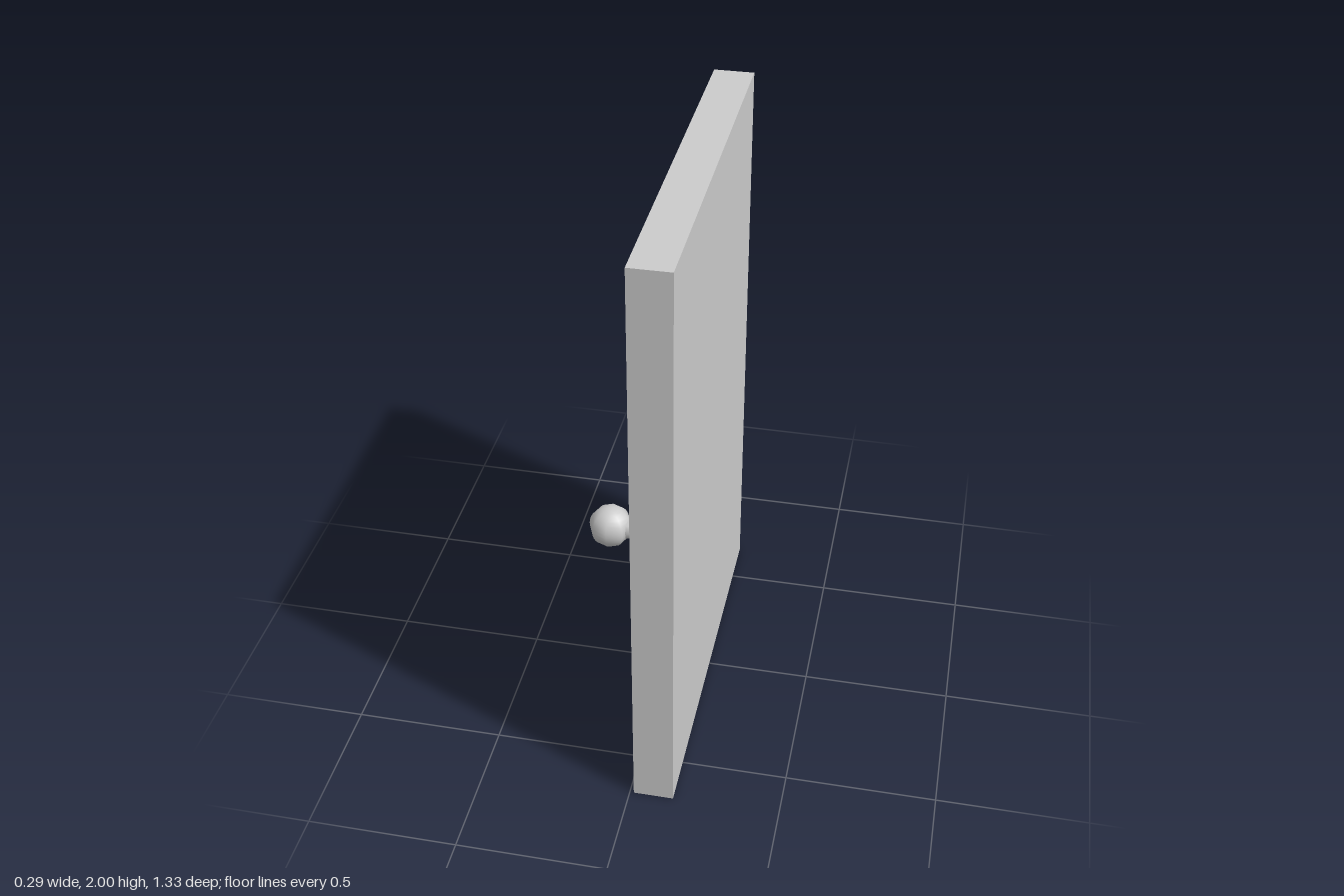
import * as THREE from 'three';

export function createModel() {
  const model = new THREE.Group();
  const grey = new THREE.MeshStandardMaterial({ color: 0xcccccc });

  const add = (name, geometry, parent, x, y, z) => {
    const mesh = new THREE.Mesh(geometry, grey);
    mesh.name = name;
    mesh.position.set(x, y, z);
    parent.add(mesh);
    return mesh;
  };

  // Door slab
  add('doorPanel', new THREE.BoxGeometry(0.133, 2, 1.333), model, 0.08, 1, 0);

  // Handle: eight-sided stem and knob on the right face
  const handle = new THREE.Group();
  handle.name = 'handle';
  handle.position.set(0.0135, 1, 0.515);
  model.add(handle);

  const stem = add('handleStem', new THREE.CylinderGeometry(0.034, 0.034, 0.1, 8), handle, -0.046, 0, 0);
  stem.rotation.z = Math.PI / 2;
  add('knob', new THREE.SphereGeometry(0.0665, 8, 16), handle, -0.0935, 0, 0);

  return model;
}
